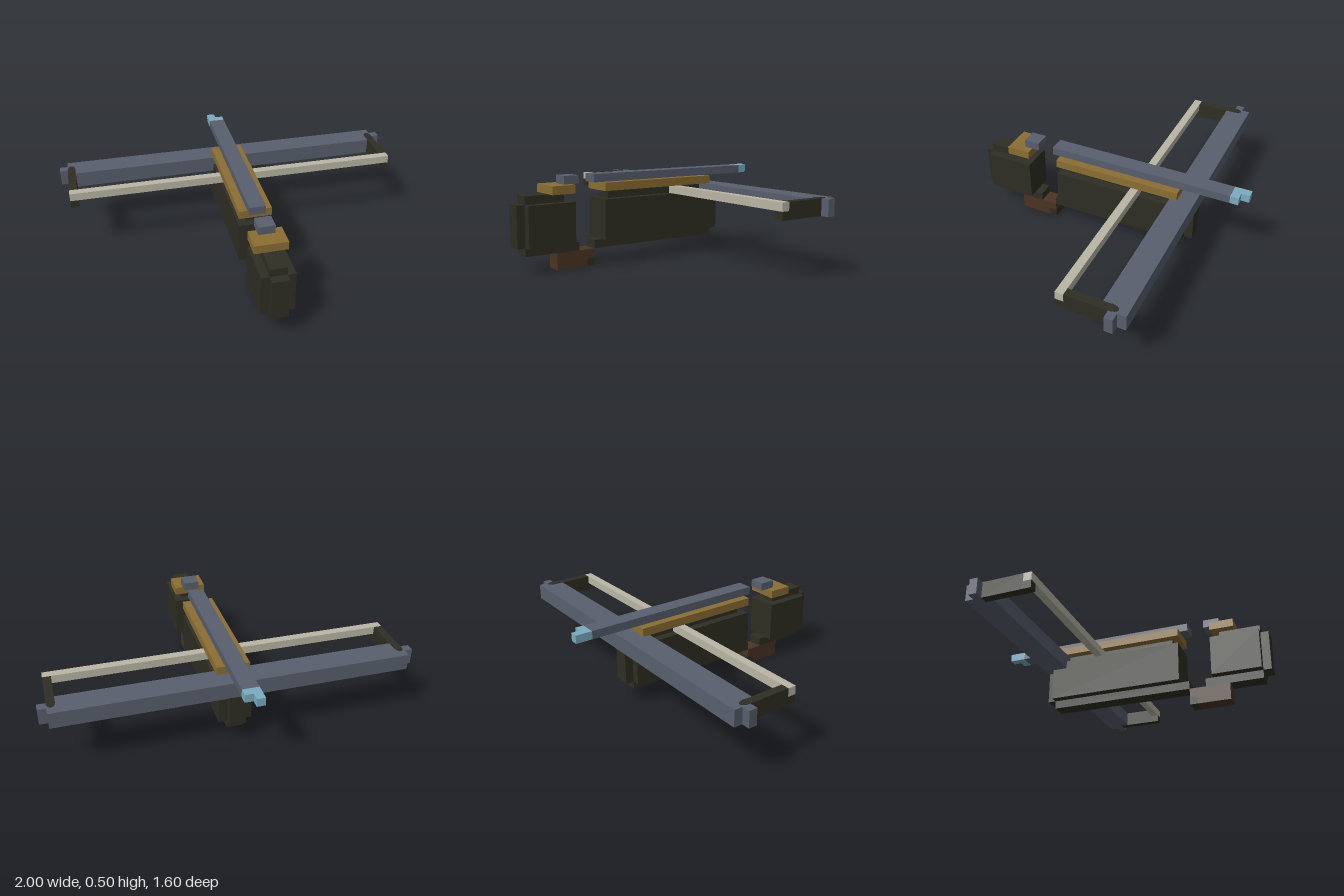
import * as THREE from 'three';

const material = (name, color) => {
  const m = new THREE.MeshStandardMaterial({ color });
  m.name = name;
  return m;
};

export function createModel() {
  const root = new THREE.Group();
  root.name = 'crossbow';
  const slate = material('slate metal', 0x585f6d);
  const dark = material('dark stock', 0x2e2e24);
  const gold = material('brass', 0x8c6e34);
  const brown = material('brown leather', 0x4a3424);
  const cord = material('pale cord', 0xbab7a6);
  const ice = material('ice blue', 0x7cacc2);

  // Block given by its limits on each axis
  function block(name, mat, [x0, x1], [y0, y1], [z0, z1]) {
    const mesh = new THREE.Mesh(new THREE.BoxGeometry(x1 - x0, y1 - y0, z1 - z0), mat);
    mesh.position.set((x0 + x1) / 2, (y0 + y1) / 2, (z0 + z1) / 2);
    mesh.name = name;
    root.add(mesh);
    return mesh;
  }
  const narrow = [-0.045, 0.045];
  const wide = [-0.09, 0.09];

  // Butt stock: wide cheeks around a longer narrow core
  block('buttCheeks', dark, wide, [0.14, 0.366], [0.48, 0.753]);
  block('buttCore', dark, narrow, [0.14, 0.366], [0.7, 0.798]);
  block('buttRidge', dark, narrow, [0.366, 0.411], [0.525, 0.753]);
  block('buttKeel', dark, narrow, [0.094, 0.14], [0.435, 0.753]);

  // Main body
  block('bodyCheeks', dark, wide, [0.14, 0.366], [-0.475, 0.297]);
  block('bodyCore', dark, narrow, [0.14, 0.366], [-0.521, -0.4]);
  block('bodyRidge', dark, narrow, [0.366, 0.411], [-0.43, 0.252]);
  block('bodyKeel', dark, narrow, [0.094, 0.14], [-0.475, 0.342]);

  // Grip, with a dark notch at its lower edge
  block('gripUpper', brown, narrow, [0.045, 0.094], [0.343, 0.57]);
  block('gripLower', brown, narrow, [0, 0.045], [0.387, 0.57]);
  block('gripNotch', dark, narrow, [0, 0.045], [0.343, 0.387]);

  // Brass plates and the rails on top
  block('rearPlate', gold, wide, [0.411, 0.457], [0.48, 0.615]);
  block('longPlate', gold, wide, [0.411, 0.457], [-0.431, 0.297]);
  block('rearSight', slate, narrow, [0.457, 0.502], [0.435, 0.525]);
  block('rail', slate, narrow, [0.457, 0.502], [-0.705, 0.342]);
  block('railTip', ice, narrow, [0.457, 0.502], [-0.752, -0.705]);
  block('railTipPoint', ice, [-0.045, 0], [0.457, 0.502], [-0.798, -0.752]);

  // Cross limb and cord
  block('limb', slate, [-0.91, 0.91], [0.322, 0.411], [-0.526, -0.39]);
  block('cord', cord, [-0.955, 0.955], [0.366, 0.411], [-0.208, -0.163]);

  for (const s of [-1, 1]) {
    const span = (a, b) => (s > 0 ? [a, b] : [-b, -a]);
    const side = s > 0 ? 'left' : 'right';
    block(side + 'LimbEnd', slate, span(0.91, 0.955), [0.322, 0.411], [-0.526, -0.435]);
    block(side + 'LimbTip', slate, span(0.955, 1), [0.322, 0.411], [-0.48, -0.435]);
    // Arm holding the cord
    block(side + 'Arm', dark, span(0.91, 0.955), [0.322, 0.411], [-0.435, -0.208]);
    block(side + 'ArmFoot', dark, span(0.91, 0.955), [0.322, 0.366], [-0.208, -0.163]);
    // Rounded dark end on the limb's top
    const cap = new THREE.Mesh(new THREE.CylinderGeometry(0.0225, 0.0225, 0.004, 16), dark);
    cap.scale.z = 1.8;
    cap.position.set(s * 0.9325, 0.411, -0.438);
    cap.name = side + 'ArmCap';
    root.add(cap);
  }
  return root;
}
